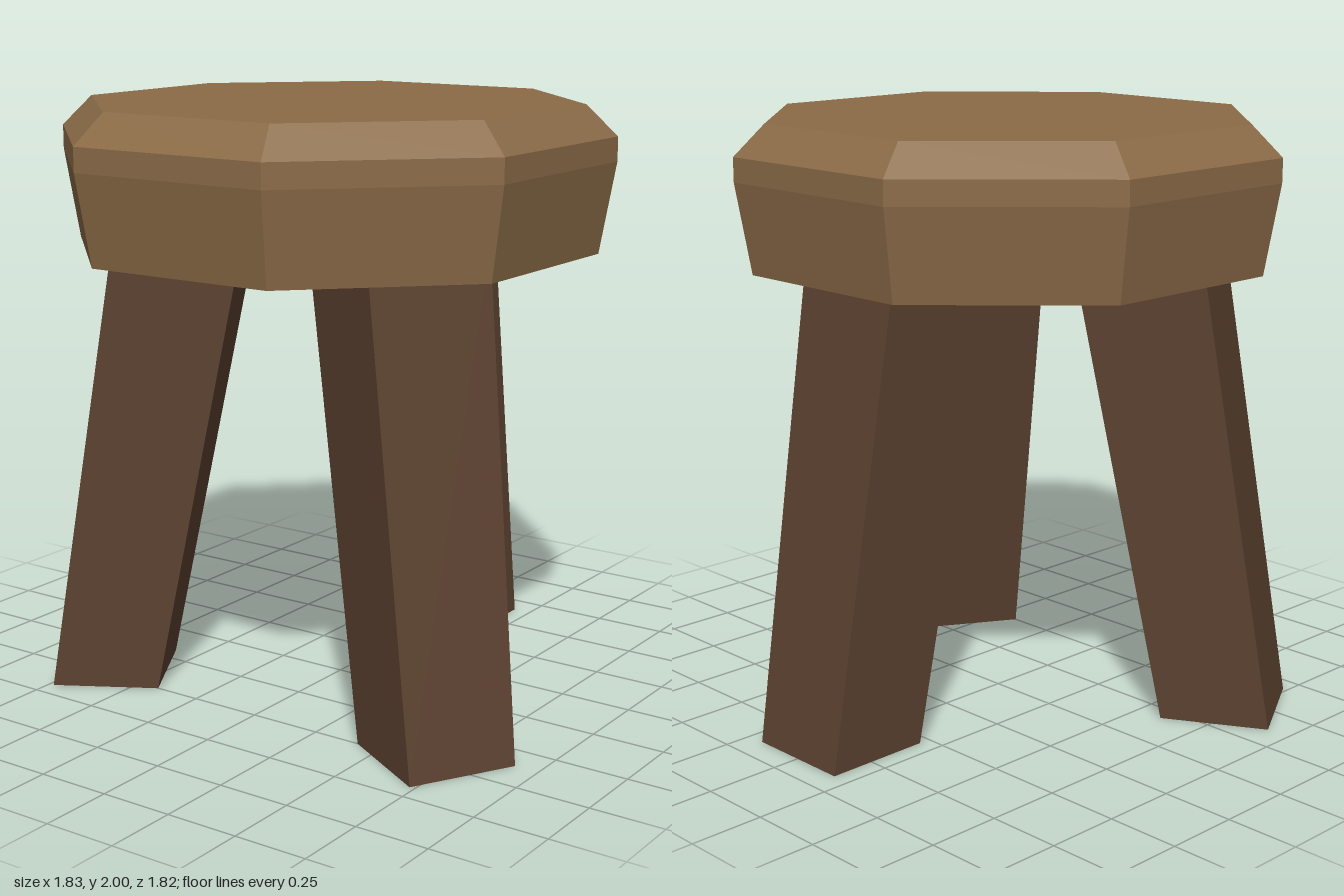
import * as THREE from 'three';

const CENTRE_Z = 0.047;
const SEAT_BOTTOM = 1.52;
const LEG_TOP = 1.6; // legs are let into the seat

// Octagonal slab: undercut sides, short upright rim, chamfered top
function makeSeat(material) {
  const toCorner = 1 / Math.cos(Math.PI / 8); // flat radius -> corner radius
  const profile = [
    [0, SEAT_BOTTOM], [0.815, SEAT_BOTTOM], [0.863, 1.82], [0.863, 1.9], [0.767, 2], [0, 2],
  ].map(([r, y]) => new THREE.Vector2(r * toCorner, y));
  const seat = new THREE.Mesh(new THREE.LatheGeometry(profile, 8, Math.PI / 8), material);
  seat.name = 'seat';
  return seat;
}

// Square leg leaning inwards and thickening towards the seat, pointing out along -z
function makeLegGeometry() {
  const geometry = new THREE.BoxGeometry(2, 2, 2);
  const pos = geometry.attributes.position;
  for (let i = 0; i < pos.count; i++) {
    const y = pos.getY(i) > 0 ? LEG_TOP : 0;
    const t = y / SEAT_BOTTOM;
    const halfWidth = THREE.MathUtils.lerp(0.185, 0.21, t);
    const outer = THREE.MathUtils.lerp(0.952, 0.707, t);
    const inner = THREE.MathUtils.lerp(0.587, 0.282, t);
    const radius = pos.getZ(i) < 0 ? outer : inner;
    pos.setXYZ(i, Math.sign(pos.getX(i)) * halfWidth, y, -radius);
  }
  geometry.computeVertexNormals();
  return geometry;
}

export function createModel() {
  const seatWood = new THREE.MeshStandardMaterial({ color: 0x8b6b47, flatShading: true });
  seatWood.name = 'seat wood';
  const legWood = new THREE.MeshStandardMaterial({ color: 0x5c4230, flatShading: true });
  legWood.name = 'dark leg wood';

  const stool = new THREE.Group();
  stool.name = 'stool';
  stool.position.z = CENTRE_Z;
  stool.add(makeSeat(seatWood));

  // Three legs spread evenly round the seat
  const legGeometry = makeLegGeometry();
  ['backLeg', 'frontRightLeg', 'frontLeftLeg'].forEach((name, i) => {
    const leg = new THREE.Mesh(legGeometry, legWood);
    leg.name = name;
    leg.rotation.y = (i * Math.PI * 2) / 3;
    stool.add(leg);
  });

  const model = new THREE.Group();
  model.name = 'model';
  model.add(stool);
  return model;
}
